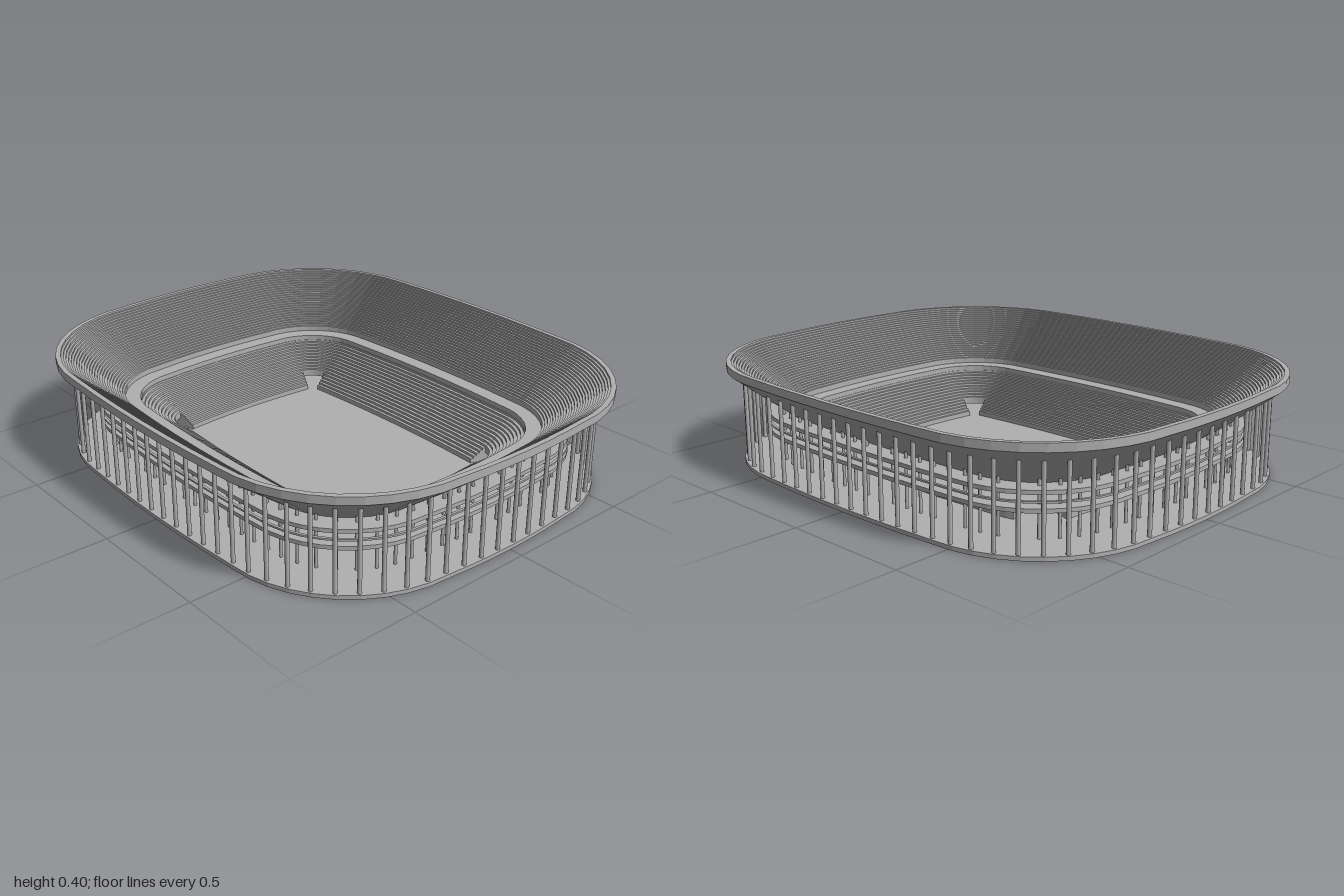
import * as THREE from 'three';

const concrete = new THREE.MeshStandardMaterial({ color: 0xb0b0b0 });
concrete.name = 'concrete grey';

const ARC = 10;   // segments per rounded corner
const SIDE = 6;   // segments per gently bowed side
const CORNER = { x: 0.29, z: 0.44, r: 0.045 };
const BOW = 0.015;

// Ground plan of the arena, offset outward from the pitch edge by d
function outline(d) {
  const pts = [];
  const r = CORNER.r + d;
  for (let q = 0; q < 4; q++) {
    const sx = q === 0 || q === 3 ? 1 : -1;
    const sz = q < 2 ? 1 : -1;
    for (let k = 0; k <= ARC; k++) {
      const a = (q + k / ARC) * Math.PI / 2;
      pts.push([sx * CORNER.x + r * Math.cos(a), sz * CORNER.z + r * Math.sin(a)]);
    }
    // bowed side following this corner
    const along = q % 2 === 0 ? CORNER.x : CORNER.z;
    const a = (q + 1) * Math.PI / 2;
    const nx = Math.round(Math.cos(a)), nz = Math.round(Math.sin(a));
    const [x0, z0] = pts[pts.length - 1];
    for (let k = 1; k < SIDE; k++) {
      const t = k / SIDE, b = BOW * 4 * t * (1 - t);
      pts.push([x0 - nz * 2 * along * t + nx * b, z0 + nx * 2 * along * t + nz * b]);
    }
  }
  return pts;
}
const COUNT = outline(0).length;
const PER = COUNT / 4;

// Sweep a closed [offset, height] profile round the plan, from step i0 for n steps
function sweep(profile, i0 = 0, n = COUNT) {
  const rings = profile.map(([d]) => outline(d));
  const pos = [];
  const P = (i, j) => {
    const jj = j % profile.length;
    const [x, z] = rings[jj][(i + COUNT) % COUNT];
    return [x, profile[jj][1], z];
  };
  for (let i = i0; i < i0 + n; i++) {
    for (let j = 0; j < profile.length; j++) {
      const a = P(i, j), b = P(i + 1, j), c = P(i + 1, j + 1), e = P(i, j + 1);
      pos.push(...a, ...b, ...c, ...a, ...c, ...e);
    }
  }
  // end walls of an open sweep
  if (n < COUNT) {
    const v = profile.map(([d, y]) => new THREE.Vector2(d, y));
    for (const tri of THREE.ShapeUtils.triangulateShape(v, [])) {
      const clockwise = THREE.ShapeUtils.area(tri.map(k => v[k])) < 0;
      const t = clockwise ? tri : [...tri].reverse();
      for (const k of t) pos.push(...P(i0, k));
      for (const k of [...t].reverse()) pos.push(...P(i0 + n, k));
    }
  }
  const g = new THREE.BufferGeometry();
  g.setAttribute('position', new THREE.Float32BufferAttribute(pos, 3));
  g.computeVertexNormals();
  return g;
}

// Seating rows: riser then tread, rising outward
function rows(d0, y0, d1, y1, n) {
  const out = [[d0, y0]];
  for (let k = 0; k < n; k++) {
    const y = y0 + (y1 - y0) * (k + 1) / n;
    out.push([d0 + (d1 - d0) * k / n, y], [d0 + (d1 - d0) * (k + 1) / n, y]);
  }
  return out;
}

export function createModel() {
  const model = new THREE.Group();
  model.name = 'arena';
  const add = (name, geometry) => {
    const m = new THREE.Mesh(geometry, concrete);
    m.name = name;
    model.add(m);
    return m;
  };

  // Ground slab, including the pitch
  const plan = new THREE.Shape(outline(0.45).map(([x, z]) => new THREE.Vector2(x, -z)));
  const slab = new THREE.ExtrudeGeometry(plan, { depth: 0.015, bevelEnabled: false });
  add('groundSlab', slab.rotateX(-Math.PI / 2));

  // Upper bowl with walkway, rim and sloping underside
  add('upperBowl', sweep([
    [0.19, 0.15], [0.19, 0.19], [0.25, 0.19],
    ...rows(0.25, 0.205, 0.49, 0.4, 26),
    [0.5, 0.4], [0.5, 0.37], [0.28, 0.2], [0.2, 0.143],
  ]));

  // Lower stand: solid blocks, with a roofed passage through each corner
  const solid = [[0, 0.014], ...rows(0, 0.025, 0.2, 0.17, 16),
    [0.2, 0.143], [0.15, 0.11], [0.15, 0.014]];
  const roof = [[0.0625, 0.05], ...rows(0.0625, 0.07, 0.2, 0.17, 11),
    [0.2, 0.143], [0.15, 0.11]];
  for (let q = 0; q < 4; q++) {
    add('passageRoof', sweep(roof, q * PER + 2, ARC - 4));
    add('lowerStand', sweep(solid, q * PER + ARC - 2, PER - ARC + 4));
  }

  // Concourse floors and rail behind the stands
  const band = (d0, d1, y0, y1) => sweep([[d0, y0], [d0, y1], [d1, y1], [d1, y0]]);
  add('lowerConcourse', band(0.16, 0.35, 0.12, 0.135));
  add('concourseRail', band(0.34, 0.35, 0.153, 0.16));
  add('upperConcourse', band(0.25, 0.35, 0.182, 0.197));

  // Rows of columns, evenly spaced round the plan
  function columns(name, d, top, radius, n) {
    const group = new THREE.Group();
    group.name = name;
    const path = new THREE.CatmullRomCurve3(
      outline(d).map(([x, z]) => new THREE.Vector3(x, 0, z)), true);
    const geo = new THREE.CylinderGeometry(radius, radius, top - 0.01, 10);
    path.getSpacedPoints(n).slice(0, n).forEach(p => {
      const m = new THREE.Mesh(geo, concrete);
      m.name = 'column';
      m.position.set(p.x, (top + 0.01) / 2, p.z);
      group.add(m);
    });
    model.add(group);
  }
  columns('outerColumns', 0.435, 0.33, 0.008, 76);
  columns('innerColumns', 0.3, 0.222, 0.006, 76);

  return model;
}
